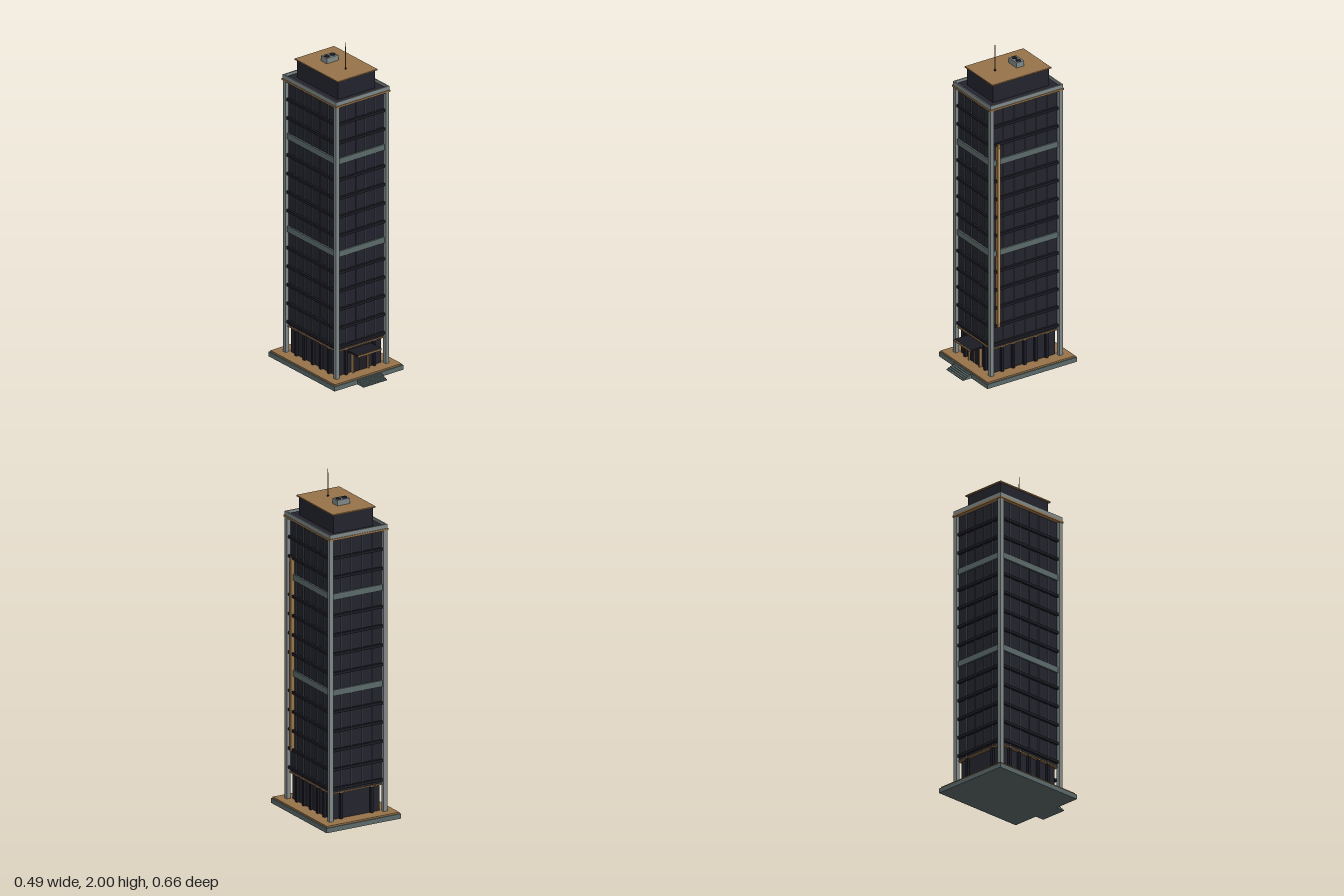
import * as THREE from 'three';

const mat = (name, color) => {
  const m = new THREE.MeshStandardMaterial({ color });
  m.name = name;
  return m;
};

export function createModel() {
  const glass = mat('dark glass', 0x23232e);
  const dark = mat('dark metal', 0x1b1b23);
  const slate = mat('slate', 0x5c6a6a);
  const stone = mat('pale stone', 0x808888);
  const bronze = mat('bronze', 0x96734a);
  const gold = mat('light bronze', 0xc09a66);

  const tower = new THREE.Group();
  tower.name = 'officeTower';
  const CZ = -0.03; // centre of the tower in z

  // box given by its extents
  const box = (name, m, x0, x1, y0, y1, z0, z1) => {
    const mesh = new THREE.Mesh(new THREE.BoxGeometry(x1 - x0, y1 - y0, z1 - z0), m);
    mesh.position.set((x0 + x1) / 2, (y0 + y1) / 2, (z0 + z1) / 2);
    mesh.name = name;
    tower.add(mesh);
    return mesh;
  };
  // box centred on the tower axis, by half sizes
  const slab = (name, m, hx, hz, y0, y1) => box(name, m, -hx, hx, y0, y1, CZ - hz, CZ + hz);
  const cyl = (name, m, r0, r1, h, x, y, z, n = 16) => {
    const mesh = new THREE.Mesh(new THREE.CylinderGeometry(r0, r1, h, n), m);
    mesh.position.set(x, y + h / 2, z);
    mesh.name = name;
    tower.add(mesh);
  };

  // plinth, plaza paving and entrance steps
  slab('plinth', slate, 0.243, 0.302, 0, 0.028);
  slab('plazaPaving', bronze, 0.236, 0.295, 0.028, 0.037);
  for (let i = 0; i < 5; i++) {
    box('step', slate, -0.083, 0.083, 0, 0.005 * (i + 1), 0.27, 0.33 - i * 0.012);
  }

  // recessed lobby and the glazed shaft above it
  slab('lobbyGlass', glass, 0.156, 0.212, 0.037, 0.195);
  slab('lobbyTrim', bronze, 0.173, 0.229, 0.193, 0.2);
  slab('shaftGlass', glass, 0.166, 0.222, 0.2, 1.708);

  // corner columns
  for (const sx of [-1, 1]) for (const sz of [-1, 1]) {
    const x = sx * 0.176, z = CZ + sz * 0.232;
    box('cornerColumn', stone, x - 0.012, x + 0.012, 0.037, 1.708, z - 0.012, z + 0.012);
  }

  // floor bands: every fifth one is a tall slate belt
  const pitch = 0.1139;
  for (let i = 0; i < 13; i++) {
    const y = 0.224 + i * pitch;
    const belt = i === 5 || i === 10;
    const h = belt ? 0.018 : 0.008;
    const out = belt ? 0.01 : 0.014;
    slab(belt ? 'slateBelt' : 'floorBand', belt ? slate : dark, 0.166 + out, 0.222 + out, y - h, y + h);
  }

  // window mullions and lobby piers on all four sides
  for (const s of [-1, 1]) {
    for (let i = 0; i < 4; i++) {
      const x = (i - 1.5) * 0.068, z = CZ + s * 0.222;
      box('mullion', slate, x - 0.0012, x + 0.0012, 0.2, 1.705, z - 0.005, z + 0.005);
    }
    for (let i = 0; i < 5; i++) {
      const z = CZ + (i - 2) * 0.074, x = s * 0.166;
      box('mullion', slate, x - 0.005, x + 0.005, 0.2, 1.705, z - 0.0012, z + 0.0012);
    }
    for (const x of [-0.1, 0.1]) {
      const z = CZ + s * 0.218;
      box('lobbyPier', dark, x - 0.008, x + 0.008, 0.037, 0.193, z - 0.01, z + 0.01);
    }
    for (const dz of [-0.15, -0.075, 0, 0.075, 0.15]) {
      const z = CZ + dz, x = s * 0.162;
      box('lobbyPier', dark, x - 0.01, x + 0.01, 0.037, 0.193, z - 0.008, z + 0.008);
    }
  }

  // entrance: doors, frame and canopy
  box('doors', dark, -0.05, 0.05, 0.037, 0.15, 0.18, 0.192);
  for (const s of [-1, 1]) {
    box('doorJamb', bronze, s * 0.053 - 0.004, s * 0.053 + 0.004, 0.037, 0.157, 0.18, 0.202);
  }
  box('doorLintel', bronze, -0.057, 0.057, 0.148, 0.157, 0.18, 0.202);
  box('doorSplit', bronze, -0.001, 0.001, 0.037, 0.15, 0.19, 0.194);
  box('canopy', dark, -0.083, 0.083, 0.167, 0.178, 0.18, 0.277);
  box('canopyEdge', bronze, -0.083, 0.083, 0.166, 0.177, 0.277, 0.281);

  // vertical blade on the left side, near the front
  box('bladeBacking', bronze, 0.166, 0.188, 0.33, 1.48, 0.147, 0.164);
  box('bladePanel', gold, 0.188, 0.191, 0.36, 1.455, 0.15, 0.161);

  // cornice, parapet walls and roof deck
  slab('corniceTrim', bronze, 0.192, 0.249, 1.703, 1.714);
  slab('roofDeck', glass, 0.181, 0.237, 1.714, 1.722);
  for (const s of [-1, 1]) {
    box('parapetSide', stone, s * 0.184 - 0.004, s * 0.184 + 0.004, 1.714, 1.738, CZ - 0.245, CZ + 0.245);
    const z = CZ + s * 0.241;
    box('parapetEnd', stone, -0.18, 0.18, 1.714, 1.738, z - 0.004, z + 0.004);
  }

  // penthouse with its overhanging roof
  slab('penthouse', glass, 0.13, 0.188, 1.722, 1.831);
  slab('penthouseRoof', bronze, 0.14, 0.198, 1.831, 1.838);

  // rooftop cooling unit with two fans
  box('coolingUnit', stone, -0.041, 0.041, 1.838, 1.87, -0.112, -0.061);
  for (const s of [-1, 1]) cyl('fan', dark, 0.016, 0.016, 0.005, s * 0.0195, 1.868, -0.0865, 20);

  // antenna
  cyl('antennaBase', dark, 0.005, 0.005, 0.008, 0, 1.838, 0.058, 10);
  cyl('antennaMast', bronze, 0.0018, 0.0035, 0.162, 0, 1.838, 0.058, 8);

  return tower;
}
